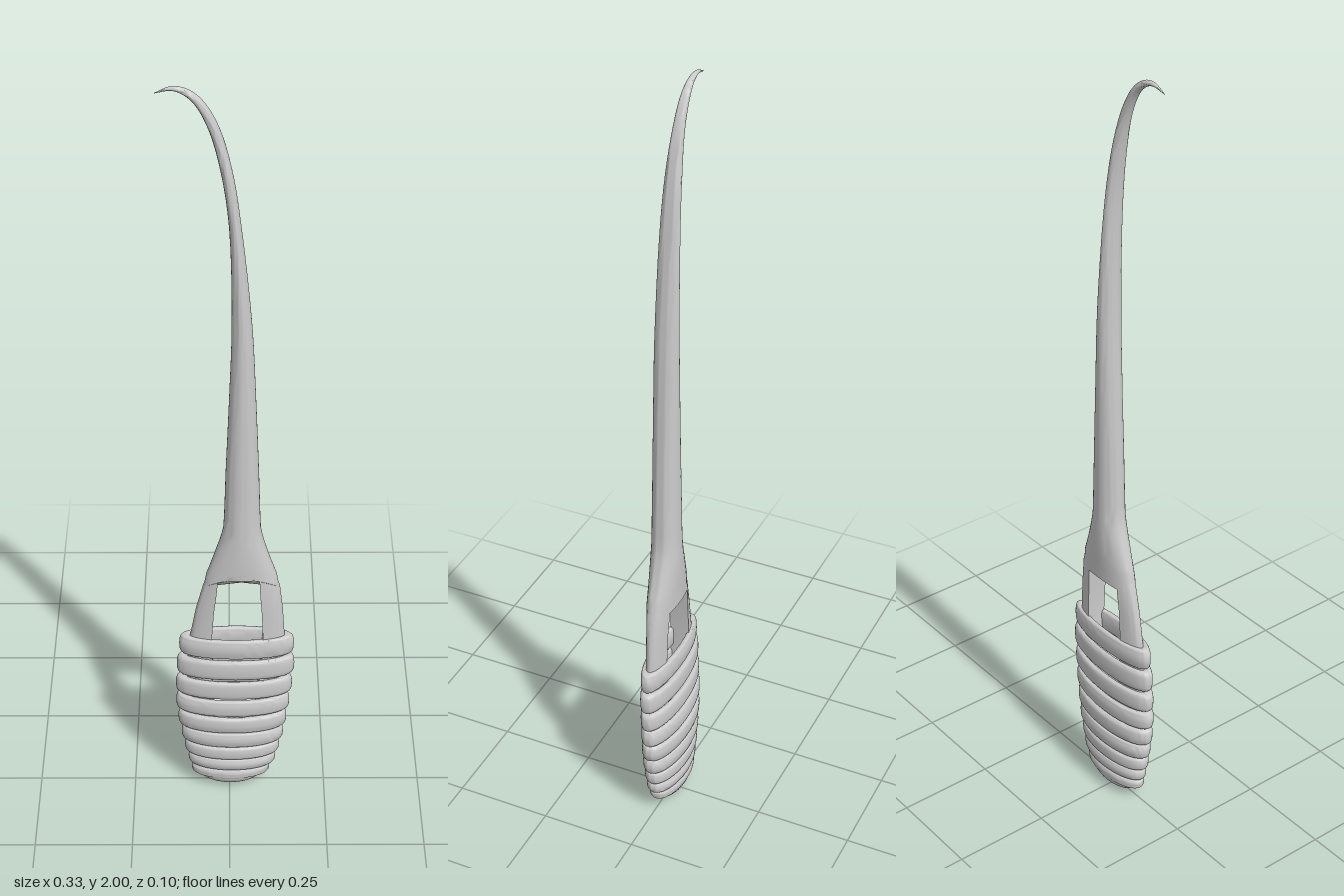
import * as THREE from 'three';
import { toCreasedNormals } from 'three/addons/utils/BufferGeometryUtils.js';

const material = new THREE.MeshStandardMaterial({ color: 0xcccccc });
const V = (x, y, z) => new THREE.Vector3(x, y, z);

// Skin a list of equal-length closed sections; loop joins the last to the first, otherwise ends are capped.
function loft(sections, loop = false) {
  const n = sections[0].length, m = sections.length;
  const points = sections.flat(), index = [];
  for (let s = 0; s < (loop ? m : m - 1); s++) {
    for (let j = 0; j < n; j++) {
      const k = (j + 1) % n, u = (s + 1) % m;
      const a = s * n + j, b = s * n + k, c = u * n + j, d = u * n + k;
      index.push(a, c, b, b, c, d);
    }
  }
  if (!loop) {
    for (const s of [0, m - 1]) {
      const centre = points.length;
      points.push(sections[s].reduce((sum, p) => sum.add(p), V(0, 0, 0)).divideScalar(n));
      for (let j = 0; j < n; j++) {
        const a = s * n + j, b = s * n + (j + 1) % n;
        index.push(centre, ...(s === 0 ? [a, b] : [b, a]));
      }
    }
  }
  const geometry = new THREE.BufferGeometry().setFromPoints(points);
  geometry.setIndex(index);
  return toCreasedNormals(geometry, 0.8);
}

// Tapering shaft that bends into a hooked point: centre x, y, half width, half depth
function shaftGeometry() {
  const rows = [
    [0.03, 0.67, 0.094, 0.035], [0.03, 0.74, 0.07, 0.037], [0.031, 0.83, 0.046, 0.036],
    [0.031, 1.0, 0.04, 0.034], [0.031, 1.2, 0.032, 0.032], [0.029, 1.4, 0.024, 0.03],
    [0.013, 1.66, 0.014, 0.025], [-0.007, 1.8, 0.013, 0.02], [-0.034, 1.9, 0.012, 0.014],
    [-0.066, 1.96, 0.01, 0.011], [-0.095, 1.985, 0.008, 0.008], [-0.125, 1.993, 0.005, 0.005],
    [-0.162, 1.982, 0.0006, 0.0006],
  ];
  const path = new THREE.CatmullRomCurve3(rows.map(r => V(r[0], r[1], 0)));
  const size = new THREE.CatmullRomCurve3(rows.map(r => V(r[2], r[3], 0)));
  const steps = (rows.length - 1) * 4, sections = [];
  for (let i = 0; i <= steps; i++) {
    const t = i / steps, p = path.getPoint(t), s = size.getPoint(t);
    const dir = i === 0 ? V(0, 1, 0) : path.getTangent(t);
    const ring = [];
    for (let j = 0; j < 32; j++) {
      const a = j / 32 * Math.PI * 2, w = Math.cos(a) * s.x;
      const q = V(p.x + dir.y * w, p.y - dir.x * w, Math.sin(a) * s.y);
      // sloping, arched ceiling of the opening
      if (i === 0) q.y += 0.022 * Math.sin(a) - 0.025 * Math.cos(a) ** 2;
      ring.push(q);
    }
    sections.push(ring);
  }
  return loft(sections);
}

// Side rail with a rounded outer face and a flat inner wall
function railGeometry(side) {
  // y, centre x, half width, half depth, inner left x, inner right x
  const rows = [
    [0.03, 0, 0.07, 0.03, -0.03, 0.035], [0.1, 0.004, 0.092, 0.036, -0.035, 0.05],
    [0.2, 0.008, 0.11, 0.036, -0.037, 0.065], [0.35, 0.013, 0.122, 0.032, -0.042, 0.075],
    [0.49, 0.02, 0.12, 0.03, -0.045, 0.085], [0.58, 0.025, 0.109, 0.031, -0.039, 0.081],
    [0.65, 0.03, 0.096, 0.034, -0.031, 0.076], [0.7, 0.03, 0.08, 0.034, -0.028, 0.074],
  ];
  return loft(rows.map(([y, c, a, b, left, right]) => {
    const half = Math.acos((side > 0 ? right - c : c - left) / a);
    const middle = side > 0 ? 0 : Math.PI;
    return Array.from({ length: 17 }, (_, j) => {
      const t = middle + half * (j / 8 - 1);
      return V(c + a * Math.cos(t), y, b * Math.sin(t));
    });
  }));
}

// Hollow oval band with a rounded-rectangle section
function bandGeometry(y, height, left, right, depth) {
  const c = (left + right) / 2, a = (right - left) / 2;
  const round = v => Math.sign(v) * Math.abs(v) ** 0.65;
  const sections = [];
  for (let i = 0; i < 56; i++) {
    const t = i / 56 * Math.PI * 2, ring = [];
    for (let j = 0; j < 16; j++) {
      const f = j / 16 * Math.PI * 2, r = round(Math.cos(f)) - 1;
      ring.push(V(c + (a + 0.016 * r) * Math.cos(t), y - round(Math.sin(f)) * height / 2,
        (depth + 0.009 * r) * Math.sin(t)));
    }
    sections.push(ring);
  }
  return loft(sections, true);
}

export function createModel() {
  const model = new THREE.Group();
  const add = (name, geometry) => {
    const mesh = new THREE.Mesh(geometry, material);
    mesh.name = name;
    model.add(mesh);
    return mesh;
  };

  add('hookedShaft', shaftGeometry());
  add('leftRail', railGeometry(1));
  add('rightRail', railGeometry(-1));

  // Stack of bands, top to bottom: y, height, left edge, right edge, half depth
  const bands = [
    [0.465, 0.058, -0.128, 0.164, 0.038], [0.4, 0.06, -0.135, 0.166, 0.042],
    [0.335, 0.054, -0.138, 0.161, 0.045], [0.277, 0.05, -0.138, 0.155, 0.048],
    [0.222, 0.049, -0.133, 0.148, 0.05], [0.171, 0.045, -0.125, 0.14, 0.05],
    [0.125, 0.04, -0.117, 0.13, 0.049], [0.084, 0.035, -0.108, 0.12, 0.047],
    [0.048, 0.029, -0.1, 0.105, 0.044],
  ];
  bands.forEach((row, i) => add('gripBand' + (i + 1), bandGeometry(...row)));

  // Rounded foot
  const foot = add('bottomCap', new THREE.SphereGeometry(1, 32, 16));
  foot.scale.set(0.085, 0.04, 0.041);
  foot.position.set(0.002, 0.04, 0);

  return model;
}
